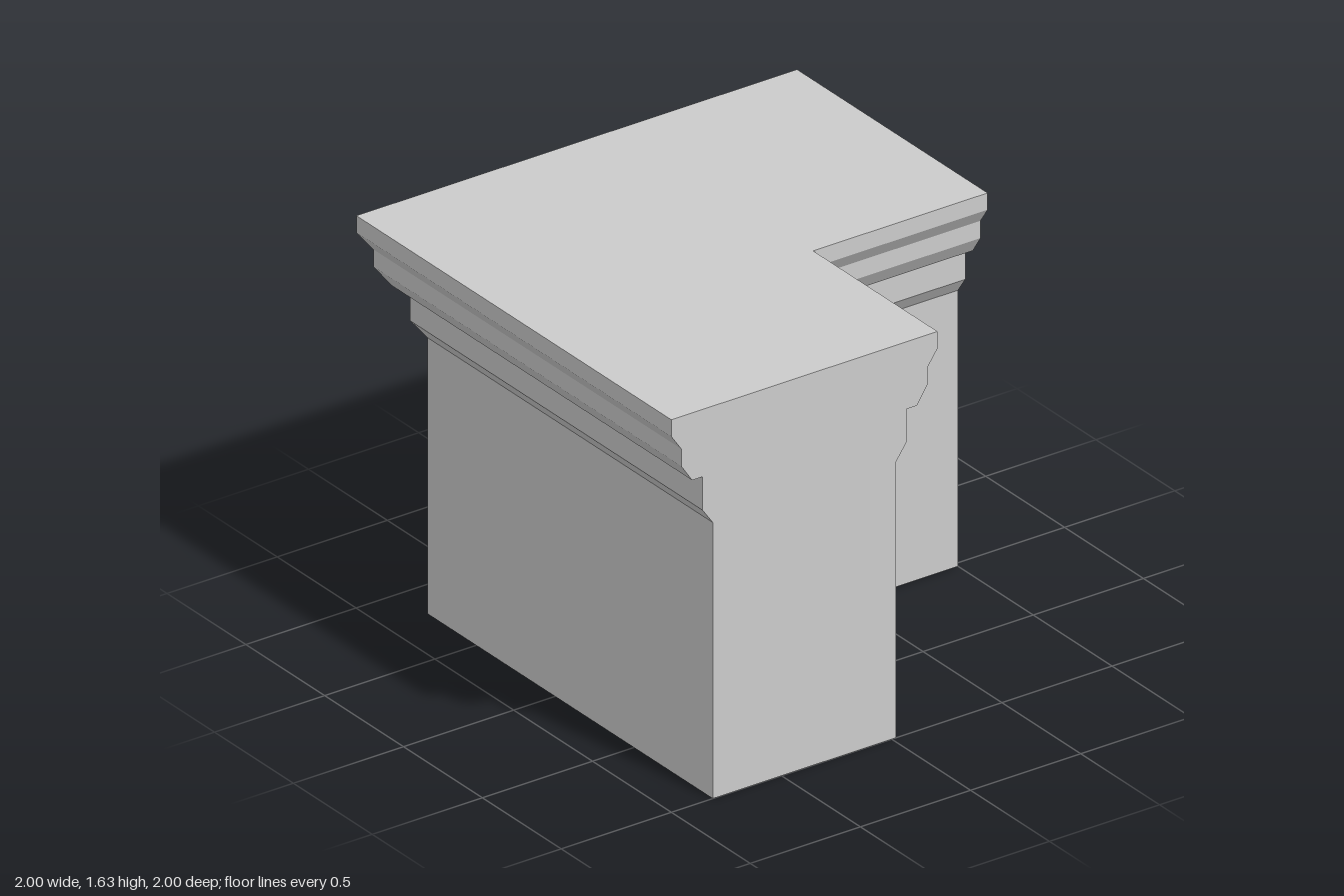
import * as THREE from 'three';

// L-shaped plan, counterclockwise from above; d pushes the moulded sides outward
// while the two cut ends stay flush at x = 1 and z = 1.
function plan(d, y) {
  const x0 = -0.812 - d, z0 = -0.81 - d, x1 = 0.02 + d, z1 = 0.023 + d;
  return [[x0, z0], [x0, 1], [x1, 1], [x1, z1], [1, z1], [1, z0]].map(([x, z]) => [x, y, z]);
}

// Joins the plan outlines of a [projection, height] profile, with optional caps.
function loft(name, profile, material, { bottom = false, top = false } = {}) {
  const rings = profile.map(([d, y]) => plan(d, y));
  const pos = [];
  const tri = (a, b, c) => pos.push(...a, ...b, ...c);
  for (let k = 0; k < rings.length - 1; k++) {
    const lo = rings[k], hi = rings[k + 1];
    for (let i = 0; i < 6; i++) {
      const j = (i + 1) % 6;
      tri(lo[i], lo[j], hi[j]);
      tri(lo[i], hi[j], hi[i]);
    }
  }
  // Caps fan out from the inner corner of the L.
  const fan = [[0, 1], [1, 2], [4, 5], [5, 0]];
  const first = rings[0], last = rings[rings.length - 1];
  for (const [a, b] of fan) {
    if (top) tri(last[3], last[a], last[b]);
    if (bottom) tri(first[3], first[b], first[a]);
  }
  const geometry = new THREE.BufferGeometry();
  geometry.setAttribute('position', new THREE.Float32BufferAttribute(pos, 3));
  geometry.computeVertexNormals();
  const mesh = new THREE.Mesh(geometry, material);
  mesh.name = name;
  return mesh;
}

export function createModel() {
  const group = new THREE.Group();
  group.name = 'cornerWallWithCornice';
  const material = new THREE.MeshStandardMaterial({ color: 0xcccccc, flatShading: true });

  group.add(
    // Plain corner wall
    loft('wall', [[0, 0], [0, 1.15]], material, { bottom: true }),
    // Lower band with a splayed foot
    loft('lowerMoulding', [[0, 1.15], [0.046, 1.215], [0.046, 1.355]], material),
    // Stepped cornice, closed by the flat top
    loft('cornice', [
      [0.046, 1.355], [0.094, 1.355], [0.143, 1.428],
      [0.143, 1.5], [0.188, 1.565], [0.188, 1.635],
    ], material, { top: true }),
  );
  return group;
}
